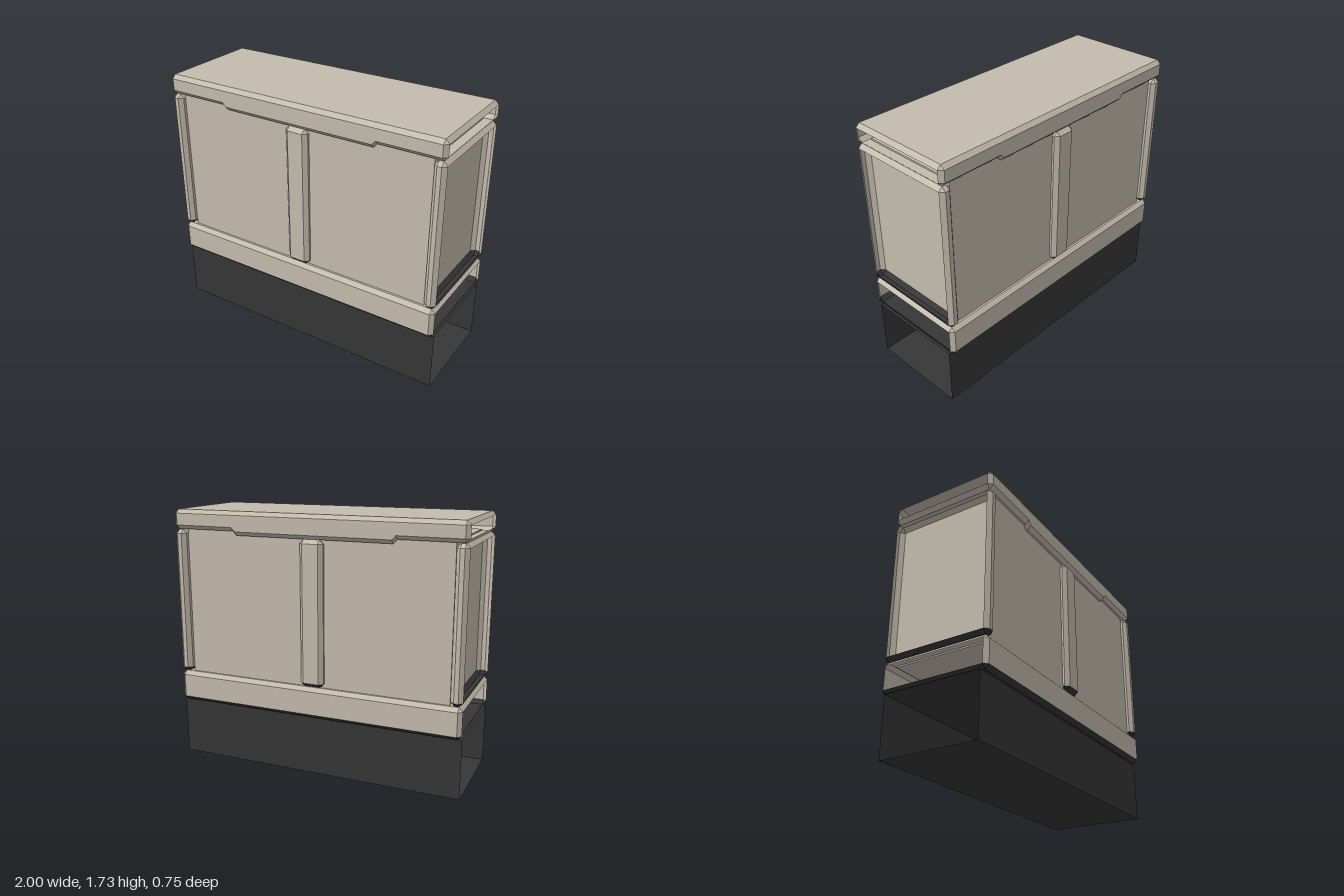
import * as THREE from 'three';

const stone = new THREE.MeshStandardMaterial({ color: 0xc4bbad, side: THREE.DoubleSide });
stone.name = 'warm stone';
const dark = new THREE.MeshStandardMaterial({ color: 0x363636, side: THREE.DoubleSide });
dark.name = 'dark footing';

const CH = 0.026; // chamfer width
const DEPTH = 0.375; // half depth of the trim

// Eight-point cross-section in the z-y plane at one x station
function ring({ x, y0, y1, d, c }) {
  return [
    [d, y0 + c], [d, y1 - c], [d - c, y1], [c - d, y1],
    [-d, y1 - c], [-d, y0 + c], [c - d, y0], [d - c, y0],
  ].map(([z, y]) => new THREE.Vector3(x, y, z));
}

// Joins the cross-sections into a flat-faced shell; ends can be left open
function shell(name, stations, { closeStart = false, closeEnd = false, darkBottom = false } = {}) {
  const rings = stations.map(ring);
  const light = [], under = [];
  const tri = (list, a, b, c) => {
    const area = b.clone().sub(a).cross(c.clone().sub(a)).length();
    if (area > 1e-8) [a, b, c].forEach((p) => list.push(p.x, p.y, p.z));
  };
  for (let k = 0; k + 1 < rings.length; k++) {
    for (let i = 0; i < 8; i++) {
      const j = (i + 1) % 8, r = rings[k], s = rings[k + 1];
      const list = darkBottom && i >= 5 ? under : light;
      tri(list, r[i], s[i], s[j]);
      tri(list, r[i], s[j], r[j]);
    }
  }
  const first = rings[0], last = rings[rings.length - 1];
  for (let i = 1; i < 7; i++) {
    if (closeStart) tri(light, first[0], first[i], first[i + 1]);
    if (closeEnd) tri(light, last[0], last[i + 1], last[i]);
  }
  const geo = new THREE.BufferGeometry();
  geo.setAttribute('position', new THREE.Float32BufferAttribute([...light, ...under], 3));
  geo.computeVertexNormals();
  geo.addGroup(0, light.length / 3, 0);
  if (under.length) geo.addGroup(light.length / 3, under.length / 3, 1);
  const mesh = new THREE.Mesh(geo, [stone, dark]);
  mesh.name = name;
  return mesh;
}

// Box with every edge chamfered
function chamferBox(name, x0, x1, y0, y1, options) {
  const full = { y0, y1, d: DEPTH, c: CH };
  const inset = { y0: y0 + CH, y1: y1 - CH, d: DEPTH - CH, c: 0 };
  return shell(name, [
    { x: x0, ...inset }, { x: x0 + CH, ...full },
    { x: x1 - CH, ...full }, { x: x1, ...inset },
  ], options);
}

// Inner cross wall half way along a hollow part
function divider(name, y0, y1, halfDepth, material) {
  const mesh = new THREE.Mesh(new THREE.PlaneGeometry(halfDepth * 2, y1 - y0), material);
  mesh.rotation.y = Math.PI / 2;
  mesh.position.y = (y0 + y1) / 2;
  mesh.name = name;
  return mesh;
}

export function createModel() {
  const wall = new THREE.Group();
  wall.name = 'wallSegment';

  // Dark footing, open at both ends
  const footing = shell('footing', [-1, 1].map((x) => ({ x, y0: 0, y1: 0.4, d: 0.335, c: 0 })));
  footing.material = [dark, dark];
  wall.add(footing, divider('footingDivider', 0, 0.4, 0.335, dark));

  // Plinth, open at both ends
  wall.add(chamferBox('plinth', -1, 1, 0.402, 0.612, { darkBottom: true }));
  wall.add(divider('plinthDivider', 0.403, 0.61, 0.335, stone));

  // Main wall panel
  const panel = new THREE.Mesh(new THREE.BoxGeometry(1.83, 1.01, 0.67), stone);
  panel.position.y = 1.108;
  panel.name = 'wallPanel';
  wall.add(panel);

  // Pilasters: the middle one is closed, the end ones are open outwards
  wall.add(chamferBox('middlePilaster', -0.08, 0.08, 0.615, 1.576,
    { closeStart: true, closeEnd: true, darkBottom: true }));
  wall.add(chamferBox('rightPilaster', -1, -0.92, 0.615, 1.6, { closeEnd: true, darkBottom: true }));
  wall.add(chamferBox('leftPilaster', 0.92, 1, 0.615, 1.6, { closeStart: true, darkBottom: true }));

  // Coping with a deeper middle, open at both ends
  const high = { y0: 1.603, y1: 1.733, d: DEPTH, c: CH };
  const low = { ...high, y0: 1.576 };
  const end = { y0: 1.603 + CH, y1: 1.733 - CH, d: DEPTH - CH, c: 0 };
  wall.add(shell('coping', [
    { x: -1, ...end }, { x: CH - 1, ...high }, { x: -0.56, ...high }, { x: -0.535, ...low },
    { x: 0.535, ...low }, { x: 0.56, ...high }, { x: 1 - CH, ...high }, { x: 1, ...end },
  ]));
  wall.add(divider('copingDivider', 1.603, 1.732, 0.349, stone));

  return wall;
}
